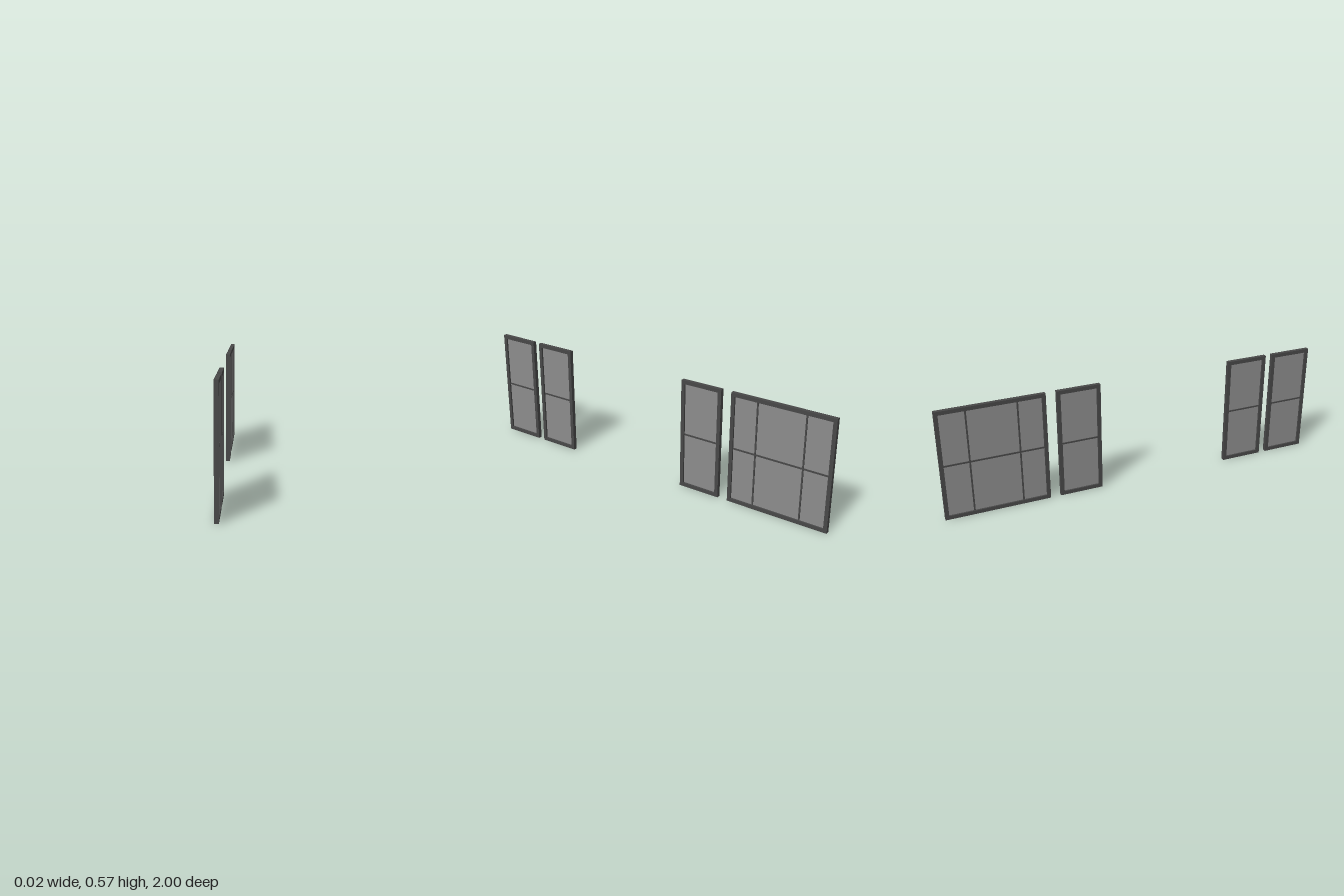
import * as THREE from 'three';

const HEIGHT = 0.572, DEPTH = 0.02, RIM = 0.019, BAR = 0.008;

const frameMaterial = new THREE.MeshStandardMaterial({ color: 0x484848 });
const glassMaterial = new THREE.MeshStandardMaterial({ color: 0x8c8c8c });

function addBox(parent, name, material, size, position) {
  const mesh = new THREE.Mesh(new THREE.BoxGeometry(...size), material);
  mesh.name = name;
  mesh.position.set(...position);
  parent.add(mesh);
}

// Rectangular frame with a real opening, extruded through the wall depth
function addFrame(parent, width) {
  const w = width / 2, i = w - RIM;
  const shape = new THREE.Shape([
    new THREE.Vector2(-w, 0), new THREE.Vector2(w, 0),
    new THREE.Vector2(w, HEIGHT), new THREE.Vector2(-w, HEIGHT),
  ]);
  shape.holes.push(new THREE.Path([
    new THREE.Vector2(-i, RIM), new THREE.Vector2(-i, HEIGHT - RIM),
    new THREE.Vector2(i, HEIGHT - RIM), new THREE.Vector2(i, RIM),
  ]));
  const geometry = new THREE.ExtrudeGeometry(shape, { depth: DEPTH, bevelEnabled: false });
  geometry.translate(0, 0, -DEPTH / 2).rotateY(Math.PI / 2);
  const frame = new THREE.Mesh(geometry, frameMaterial);
  frame.name = 'frame';
  parent.add(frame);
}

// One window spanning z0..z1, with optional upright bars at the given z
function createWindow(name, z0, z1, uprights = []) {
  const group = new THREE.Group();
  group.name = name;
  const width = z1 - z0, mid = (z0 + z1) / 2;
  group.position.z = mid;
  const openW = width - 2 * RIM, openH = HEIGHT - 2 * RIM;
  addFrame(group, width);
  addBox(group, 'glass', glassMaterial, [0.003, openH, openW], [0, HEIGHT / 2, 0]);
  addBox(group, 'crossBar', frameMaterial, [0.01, BAR, openW], [0, HEIGHT / 2, 0]);
  for (const z of uprights) {
    addBox(group, 'uprightBar', frameMaterial, [0.0096, openH, BAR], [0, HEIGHT / 2, z - mid]);
  }
  return group;
}

export function createModel() {
  const model = new THREE.Group();
  model.name = 'windowSet';
  model.add(
    createWindow('frontWindow', 0.776, 1),
    createWindow('secondWindow', 0.513, 0.737),
    createWindow('thirdWindow', -0.416, -0.192),
    createWindow('wideBackWindow', -1, -0.47, [-0.608, -0.855]),
  );
  return model;
}
